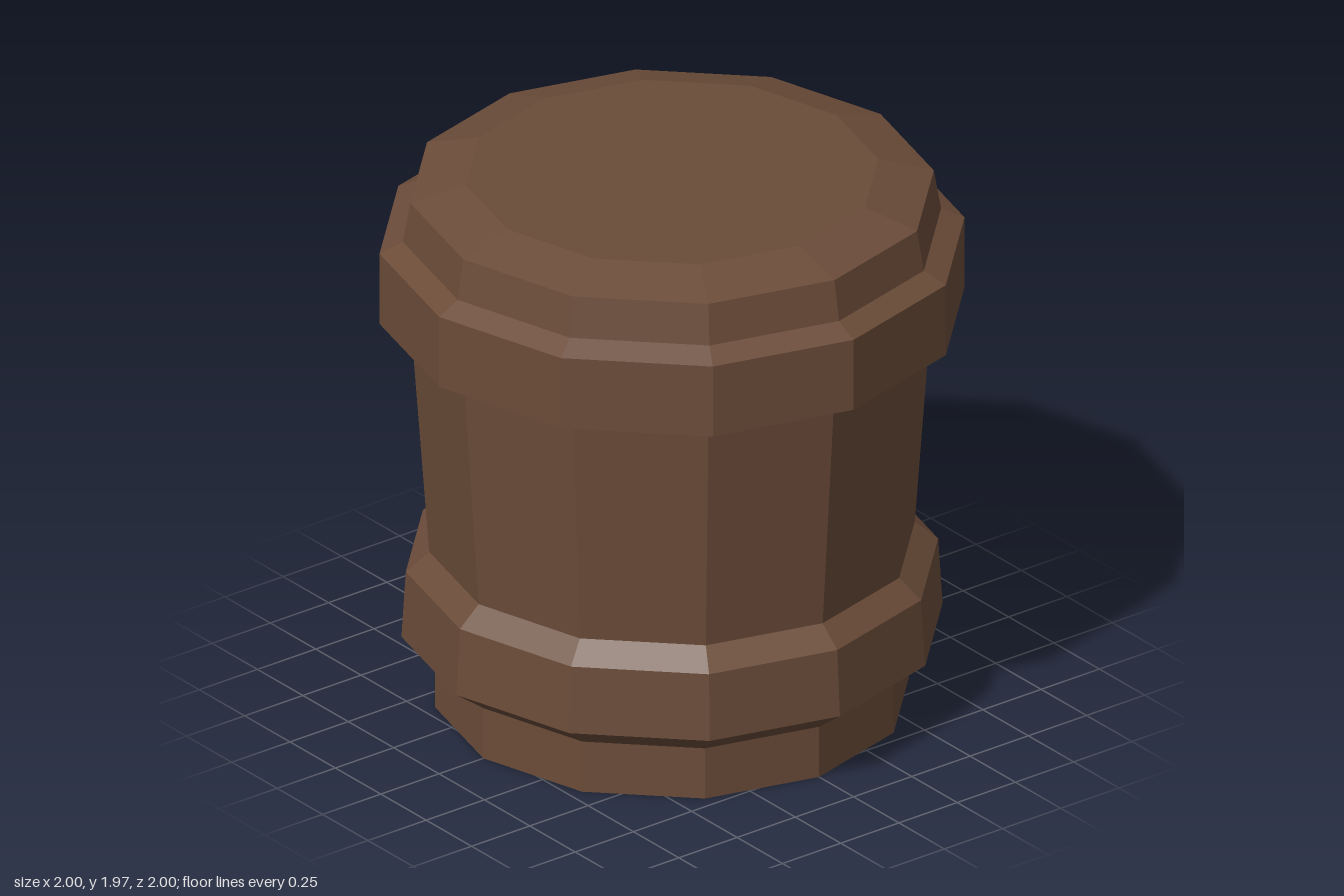
import * as THREE from 'three';

const SIDES = 12;

export function createModel() {
  const group = new THREE.Group();
  group.name = 'woodenPost';
  const wood = new THREE.MeshStandardMaterial({ color: 0x6b4c39, flatShading: true });
  wood.name = 'brown wood';

  // Each part is a twelve-sided turned section, listed as [radius, height] from bottom to top
  const parts = {
    foot: [[0, 0], [0.81, 0], [0.81, 0.19]],
    lowerBand: [[0.81, 0.19], [0.925, 0.275], [0.91, 0.52], [0.83, 0.59]],
    body: [[0.83, 0.59], [0.89, 1.42]],
    upperBand: [[0.89, 1.42], [1, 1.465], [1, 1.73], [0.92, 1.77]],
    cap: [[0.92, 1.77], [0.895, 1.915], [0.705, 1.97], [0, 1.97]],
  };

  for (const [name, profile] of Object.entries(parts)) {
    const points = profile.map(([r, y]) => new THREE.Vector2(r, y));
    const mesh = new THREE.Mesh(new THREE.LatheGeometry(points, SIDES), wood);
    mesh.name = name;
    group.add(mesh);
  }
  return group;
}
